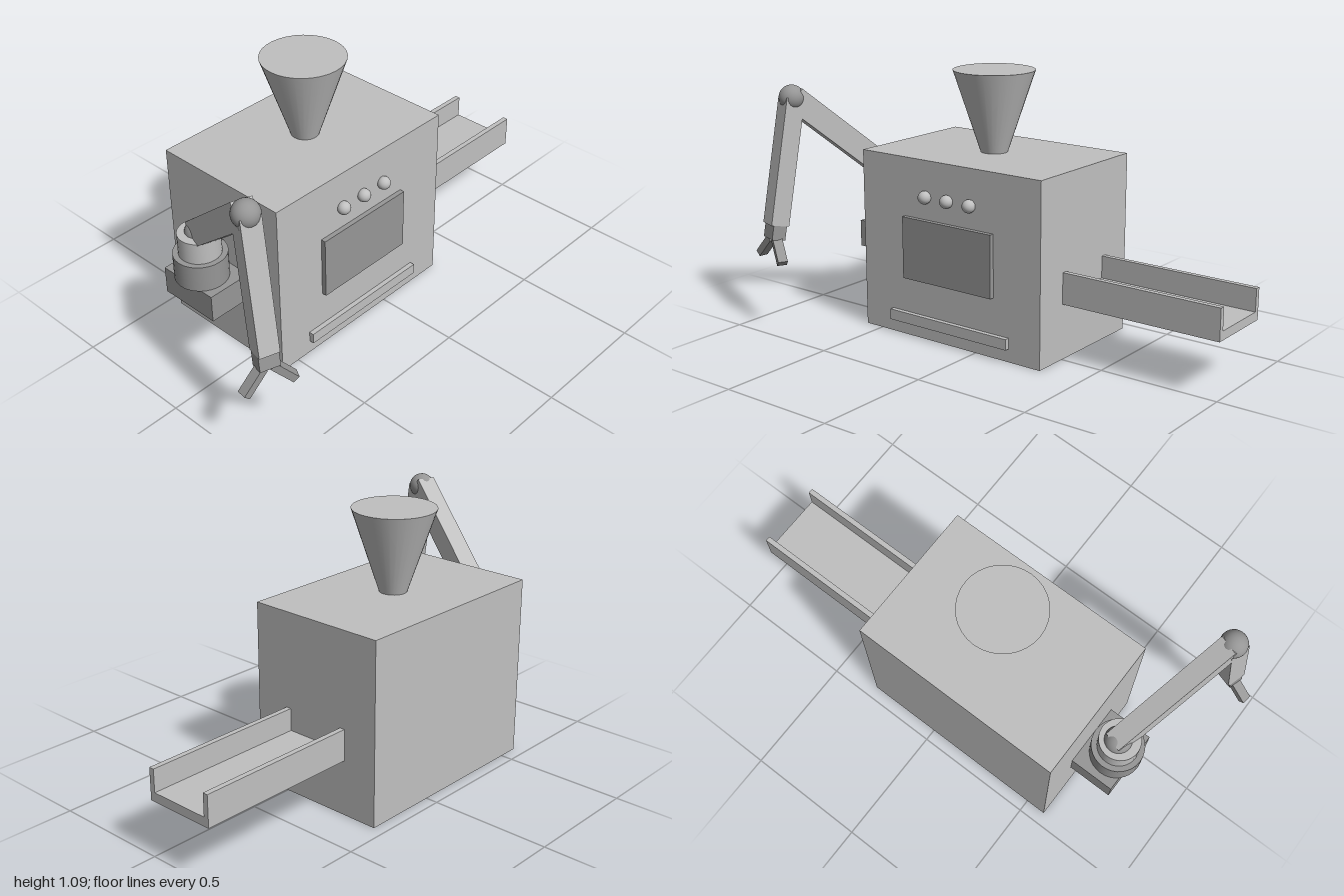
import * as THREE from 'three';

export function createModel() {
  const model = new THREE.Group();
  model.name = 'hopperMachine';

  const lightGrey = new THREE.MeshStandardMaterial({ name: 'lightGrey', color: 0xc0c0c0 });
  const darkGrey = new THREE.MeshStandardMaterial({ name: 'darkGrey', color: 0x969696 });

  const add = (name, geometry, material, x, y, z, parent = model) => {
    const mesh = new THREE.Mesh(geometry, material);
    mesh.name = name;
    mesh.position.set(x, y, z);
    parent.add(mesh);
    return mesh;
  };

  // Box given by its limits on each axis
  const block = (name, material, [x0, x1], [y0, y1], [z0, z1], parent) =>
    add(name, new THREE.BoxGeometry(x1 - x0, y1 - y0, z1 - z0), material,
      (x0 + x1) / 2, (y0 + y1) / 2, (z0 + z1) / 2, parent);

  // Square bar running from one point to another
  const bar = (name, material, from, to, width, height, parent) => {
    const mid = from.clone().add(to).multiplyScalar(0.5);
    const mesh = add(name, new THREE.BoxGeometry(width, height, from.distanceTo(to)),
      material, mid.x, mid.y, mid.z, parent);
    mesh.lookAt(to);
    return mesh;
  };

  // Main housing with its hopper
  block('body', lightGrey, [-0.585, 0.315], [0, 0.755], [-0.45, 0.15]);
  add('hopper', new THREE.CylinderGeometry(0.168, 0.056, 0.337, 32), lightGrey, -0.135, 0.9235, -0.15);

  // Front panel details
  block('window', darkGrey, [-0.36, 0.09], [0.25, 0.51], [0.15, 0.17]);
  block('lowerTrim', lightGrey, [-0.435, 0.165], [0.055, 0.1], [0.15, 0.17]);
  for (const x of [-0.247, -0.135, -0.022]) {
    add('button', new THREE.SphereGeometry(0.027, 24, 16), lightGrey, x, 0.605, 0.162);
  }

  // Output chute: floor and two side walls
  const chute = new THREE.Group();
  chute.name = 'chute';
  model.add(chute);
  block('chuteFloor', lightGrey, [0.315, 1], [0.23, 0.267], [-0.3, 0], chute);
  for (const z of [-0.3, -0.022]) {
    block('chuteWall', lightGrey, [0.315, 1], [0.267, 0.36], [z, z + 0.022], chute);
  }

  // Robot arm on a side bracket
  const arm = new THREE.Group();
  arm.name = 'robotArm';
  model.add(arm);
  block('armBracket', darkGrey, [-0.772, -0.585], [0.27, 0.385], [-0.283, -0.02], arm);
  add('turntable', new THREE.CylinderGeometry(0.105, 0.105, 0.11, 32), darkGrey, -0.7, 0.44, -0.15, arm);
  add('shoulderPost', new THREE.CylinderGeometry(0.083, 0.083, 0.09, 32), lightGrey, -0.7, 0.54, -0.15, arm);

  const shoulder = new THREE.Vector3(-0.695, 0.577, -0.155);
  const elbow = new THREE.Vector3(-0.848, 0.962, 0.288);
  const wrist = new THREE.Vector3(-0.877, 0.437, 0.378);
  add('shoulderJoint', new THREE.SphereGeometry(0.055, 32, 20), darkGrey, ...shoulder.toArray(), arm);
  add('elbowJoint', new THREE.SphereGeometry(0.053, 32, 20), darkGrey, ...elbow.toArray(), arm);
  bar('upperArm', lightGrey, shoulder, elbow, 0.08, 0.1, arm);
  bar('forearm', lightGrey, elbow, wrist, 0.08, 0.08, arm);

  // Gripper follows the forearm, its two fingers spreading sideways
  const reach = wrist.clone().sub(elbow).normalize();
  const palm = wrist.clone().addScaledVector(reach, 0.06);
  const side = new THREE.Vector3(0.95, 0, 0.31);
  bar('wristBlock', darkGrey, wrist, palm, 0.08, 0.06, arm);
  for (const s of [-1, 1]) {
    const root = palm.clone().addScaledVector(side, s * 0.02);
    const tip = palm.clone().addScaledVector(side, s * 0.1).addScaledVector(reach, 0.085);
    bar('finger', darkGrey, root, tip, 0.04, 0.03, arm);
  }

  return model;
}
